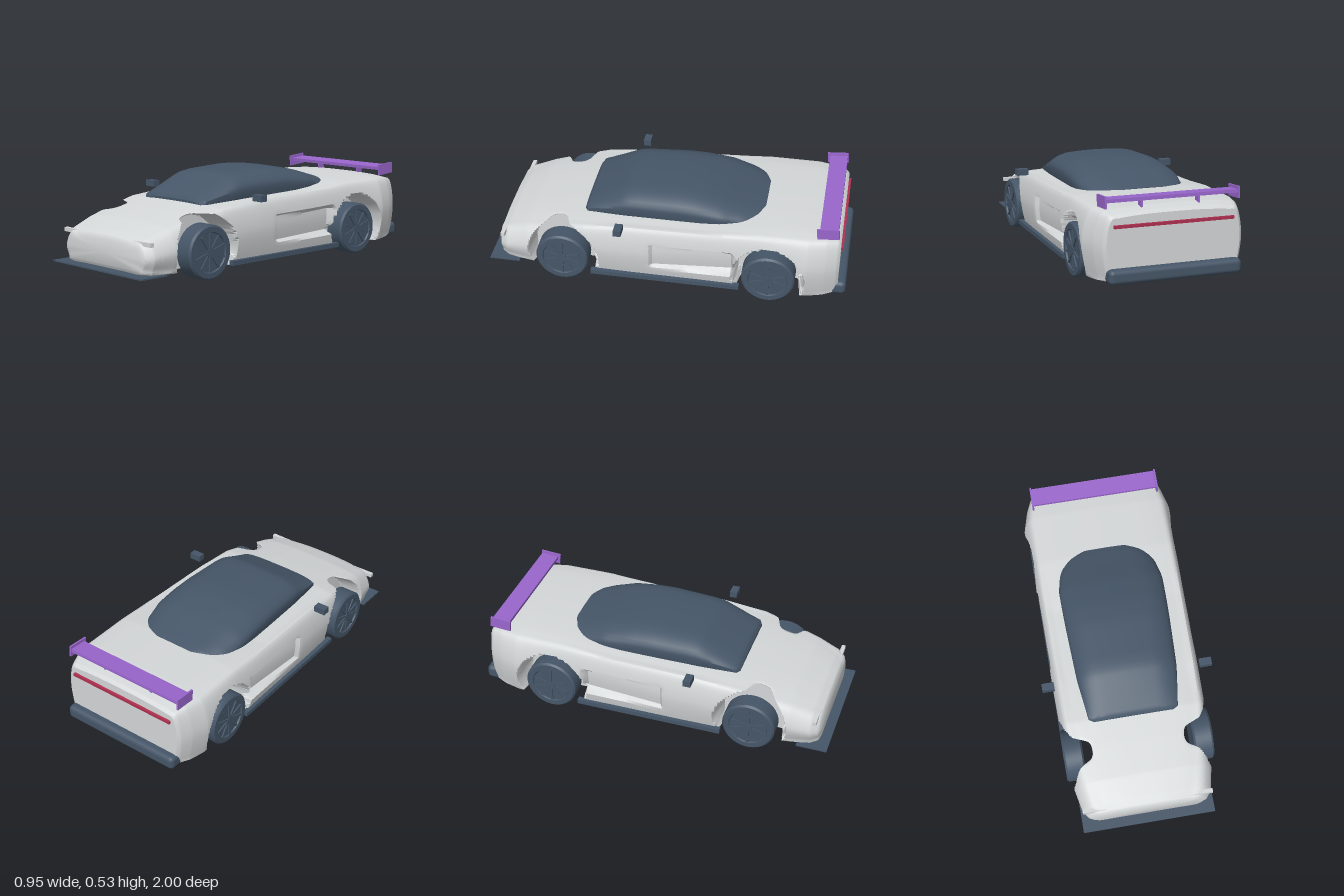
import * as THREE from 'three';
import { toCreasedNormals } from 'three/addons/utils/BufferGeometryUtils.js';
import { RoundedBoxGeometry } from 'three/addons/geometries/RoundedBoxGeometry.js';

const V2 = (x, y) => new THREE.Vector2(x, y);
const { lerp, smoothstep } = THREE.MathUtils;
const WHEEL_Z = [0.57, -0.577], WHEEL_Y = 0.15, WHEEL_R = 0.146;

// Linear interpolation in a table of rows [z, ...values], z descending.
function sample(rows, z) {
  let i = 0;
  while (i < rows.length - 2 && z < rows[i + 1][0]) i++;
  const t = (z - rows[i][0]) / (rows[i + 1][0] - rows[i][0]);
  return rows[i].map((v, k) => lerp(v, rows[i + 1][k], t));
}

// Mirrored half-sections lofted from front to back, with both ends capped.
function loft(rows, section, steps, count, shape = (x) => x) {
  const pos = [], index = [], n = count * 2;
  const z0 = rows[0][0], z1 = rows[rows.length - 1][0];
  for (let i = 0; i <= steps; i++) {
    // stations bunch up towards both ends
    const u = i / steps, z = lerp(z0, z1, u - 0.09 * Math.sin(2 * Math.PI * u));
    const half = new THREE.SplineCurve(section(sample(rows, z))).getSpacedPoints(count);
    for (let j = 0; j < n; j++) {
      const p = half[j <= count ? j : n - j];
      const x = shape(Math.max(p.x, 0), p.y, z);
      pos.push(j <= count ? x : -x, p.y, z);
    }
  }
  for (let i = 0; i < steps; i++) for (let j = 0; j < n; j++) {
    const a = i * n + j, b = i * n + (j + 1) % n, c = a + n, d = b + n;
    index.push(a, c, b, b, c, d);
  }
  for (const end of [0, steps]) {
    const o = end * n, mid = pos.length / 3;
    pos.push(0, (pos[o * 3 + 1] + pos[(o + count) * 3 + 1]) / 2, pos[o * 3 + 2]);
    for (let j = 0; j < n; j++) {
      const a = o + j, b = o + (j + 1) % n;
      if (end === 0) index.push(mid, a, b); else index.push(mid, b, a);
    }
  }
  const g = new THREE.BufferGeometry();
  g.setAttribute('position', new THREE.Float32BufferAttribute(pos, 3));
  g.setIndex(index);
  return toCreasedNormals(g, 0.6);
}

// Body: z, half width, deck half width, deck height, shoulder height, underside
const BODY = [
  [0.95, 0.30, 0.20, 0.215, 0.185, 0.085],
  [0.94, 0.33, 0.22, 0.238, 0.20, 0.065],
  [0.90, 0.36, 0.24, 0.262, 0.22, 0.057],
  [0.78, 0.385, 0.27, 0.305, 0.255, 0.055],
  [0.60, 0.40, 0.30, 0.345, 0.30, 0.055],
  [0.45, 0.41, 0.33, 0.375, 0.33, 0.055],
  [0.20, 0.415, 0.33, 0.39, 0.355, 0.055],
  [-0.20, 0.416, 0.34, 0.405, 0.365, 0.055],
  [-0.50, 0.42, 0.34, 0.433, 0.38, 0.055],
  [-0.78, 0.433, 0.33, 0.438, 0.38, 0.055],
  [-0.88, 0.405, 0.315, 0.433, 0.38, 0.06],
  [-0.94, 0.378, 0.30, 0.42, 0.37, 0.065],
  [-0.955, 0.362, 0.29, 0.405, 0.36, 0.07],
];
const bodySection = ([, w, t, top, sh, bot]) => [
  V2(0, bot), V2(0.45 * w, bot), V2(0.88 * w, bot), V2(0.945 * w, bot + 0.03),
  V2(w, lerp(bot, sh, 0.6)), V2((w + t) / 2 + 0.015, sh + 0.015),
  V2(t, top - 0.012), V2(0.5 * t, top - 0.002), V2(0, top),
];

// Pushes the flanks in for wheel wells and side intakes.
function carve(x, y, z) {
  for (const wz of WHEEL_Z) {
    const k = 1 - smoothstep(Math.hypot(z - wz, y - WHEEL_Y), 0.183, 0.2);
    if (x > 0.25) x = lerp(x, 0.25, k);
  }
  if (x > 0.3) {
    const k = smoothstep(z, -0.39, -0.37) * (1 - smoothstep(z, 0.065, 0.085))
      * smoothstep(y, 0.14, 0.155) * (1 - smoothstep(y, 0.285, 0.302));
    x -= k * lerp(0.055, 0.022, (z + 0.38) / 0.46);
  }
  return x;
}

// Cabin: z, half width, roof height
const CABIN = [
  [0.467, 0.225, 0.385], [0.45, 0.25, 0.408], [0.24, 0.277, 0.51], [0.18, 0.28, 0.519],
  [-0.05, 0.29, 0.53], [-0.16, 0.293, 0.524], [-0.3, 0.295, 0.499],
  [-0.42, 0.27, 0.465], [-0.49, 0.235, 0.447], [-0.525, 0.19, 0.437],
];
const cabinSection = ([, w, top]) => {
  const y = (k) => lerp(0.34, top, k);
  return [V2(0, 0.34), V2(0.85 * w, 0.34), V2(w, y(0.5)), V2(0.92 * w, y(0.75)),
    V2(0.68 * w, y(0.93)), V2(0.35 * w, y(0.985)), V2(0, top)];
};

export function createModel() {
  const group = new THREE.Group();
  const material = (name, color) => Object.assign(new THREE.MeshStandardMaterial({ color }), { name });
  const paint = material('light grey paint', 0xd4d7d8);
  const dark = material('dark slate', 0x465668);
  const purple = material('purple', 0x9966cc);
  const red = material('red light', 0xb03050);

  const add = (name, geometry, mat, x = 0, y = 0, z = 0, parent = group) => {
    const mesh = new THREE.Mesh(geometry, mat);
    mesh.name = name;
    mesh.position.set(x, y, z);
    parent.add(mesh);
    return mesh;
  };
  const box = (name, mat, w, h, d, x, y, z, parent) =>
    add(name, new THREE.BoxGeometry(w, h, d), mat, x, y, z, parent);

  add('body', loft(BODY, bodySection, 180, 84, carve), paint);
  add('cabin', loft(CABIN, cabinSection, 50, 32), dark);

  // Wheels: turned tyre with a dished rim, spokes and hub on the outer face
  const tyre = toCreasedNormals(new THREE.LatheGeometry([
    V2(0, -0.055), V2(0.13, -0.055), V2(WHEEL_R, -0.045), V2(WHEEL_R, 0.045),
    V2(0.136, 0.055), V2(0.108, 0.055), V2(0.104, 0.047), V2(0, 0.047),
  ], 48), 0.5);
  for (const side of [1, -1]) for (const z of WHEEL_Z) {
    const wheel = new THREE.Group();
    wheel.name = (z > 0 ? 'front' : 'rear') + (side > 0 ? 'Left' : 'Right') + 'Wheel';
    wheel.position.set(side * 0.362, WHEEL_Y, z);
    wheel.rotation.z = -side * Math.PI / 2;
    add('tyre', tyre, dark, 0, 0, 0, wheel);
    add('hub', new THREE.CylinderGeometry(0.025, 0.025, 0.012, 20), dark, 0, 0.05, 0, wheel);
    for (let i = 0; i < 10; i++) {
      const a = i * Math.PI / 5;
      box('spoke', dark, 0.085, 0.008, 0.014, Math.cos(a) * 0.062, 0.05, -Math.sin(a) * 0.062, wheel)
        .rotation.y = a;
    }
    group.add(wheel);
  }

  // Parts on both flanks
  const fin = new THREE.Shape([V2(0.21, 0.232), V2(0.26, 0.212), V2(0.362, 0.212), V2(0.362, 0.234)]);
  const finGeometry = new THREE.ExtrudeGeometry(fin, { depth: 0.022, bevelEnabled: false });
  for (const side of [1, -1]) {
    box('mirror', dark, 0.068, 0.035, 0.042, side * 0.44, 0.406, 0.24);
    box('sideSkirt', dark, 0.03, 0.025, 0.83, side * 0.4, 0.072, -0.005);
    const mesh = add('noseFin', finGeometry, paint, 0, 0, 0.908);
    if (side < 0) {
      mesh.rotation.y = Math.PI;
      mesh.position.z = 0.93;
    }
  }

  // Front splitter, rear bumper and light bar
  box('splitter', dark, 0.744, 0.008, 0.17, 0, 0.058, 0.915);
  add('rearBumper', new RoundedBoxGeometry(0.72, 0.078, 0.13, 4, 0.025), dark, 0, 0.098, -0.935);
  box('rearLight', red, 0.65, 0.016, 0.016, 0, 0.35, -0.96);

  // Rear wing
  const wing = new THREE.Group();
  wing.name = 'rearWing';
  wing.position.set(0, 0.467, -0.882);
  wing.rotation.x = 0.08;
  box('wingBlade', purple, 0.72, 0.018, 0.1, 0, 0.006, -0.005, wing);
  for (const side of [1, -1]) {
    box('wingEndPlate', purple, 0.01, 0.062, 0.118, side * 0.361, 0, 0, wing);
    box('wingStrut', purple, 0.01, 0.045, 0.04, side * 0.155, -0.02, 0, wing);
  }
  group.add(wing);
  return group;
}
